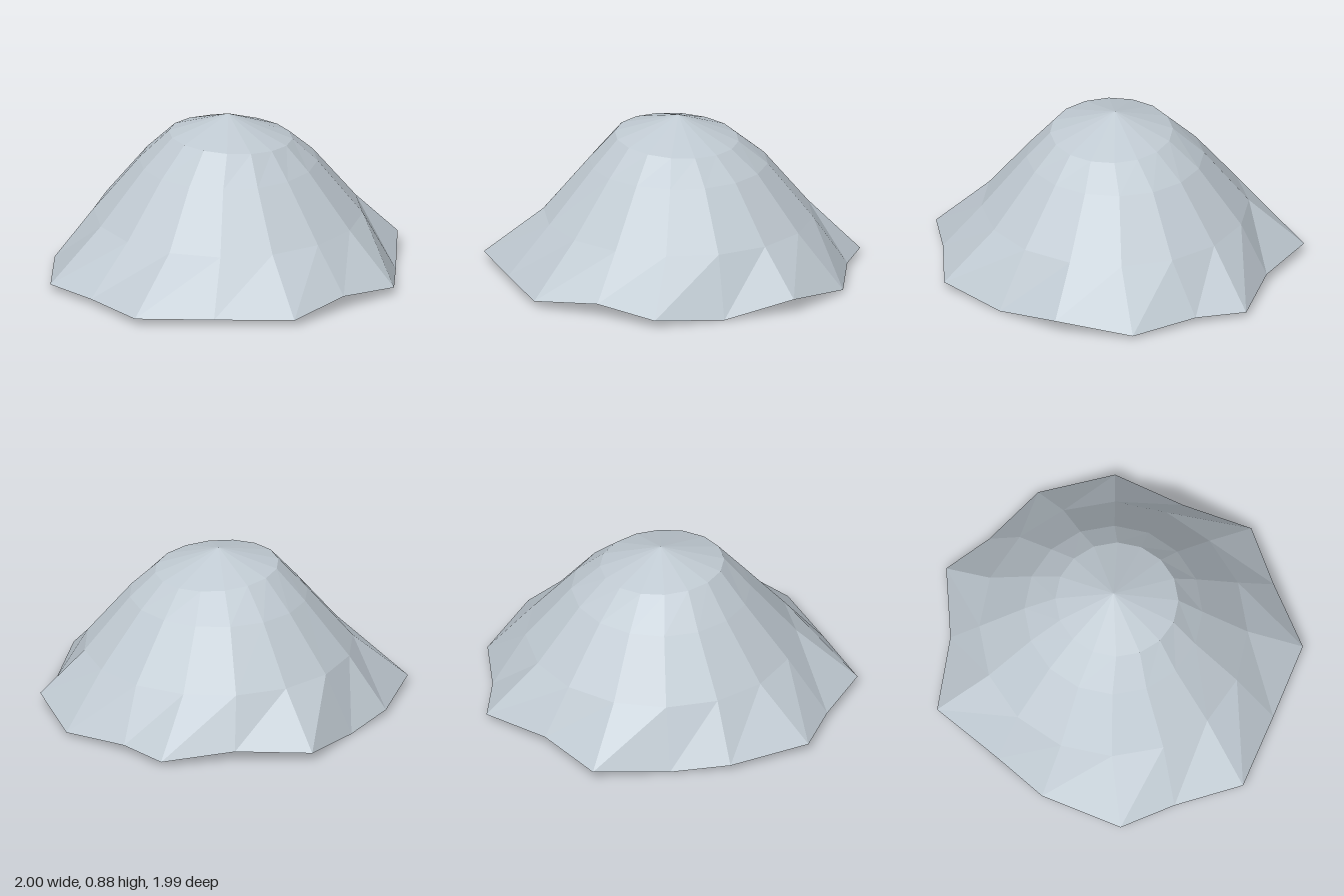
import * as THREE from 'three';

const SIDES = 16;

// One ring of corners, starting at +x and turning towards +z
function ring(cx, cz, rx, rz, height) {
  return Array.from({ length: SIDES }, (_, i) => {
    const a = (i / SIDES) * Math.PI * 2;
    return [cx + rx * Math.cos(a), height(a), cz + rz * Math.sin(a)];
  });
}

export function createModel() {
  const group = new THREE.Group();
  group.name = 'canopy';
  const cloth = new THREE.MeshStandardMaterial({ color: 0xc0cad2, side: THREE.DoubleSide, flatShading: true });
  cloth.name = 'pale blue grey';

  // Wavy hem, x y z per corner
  const hem = [
    [1.0, 0.02, -0.02], [0.92, 0.08, 0.4], [0.645, 0.005, 0.69], [0.37, 0.045, 0.98],
    [0.01, 0.08, 0.97], [-0.37, 0.04, 0.99], [-0.69, 0.04, 0.69], [-1.0, 0.04, 0.39],
    [-0.97, 0.04, 0.0], [-0.98, 0.04, -0.32], [-0.65, 0.03, -0.65], [-0.35, 0.005, -0.79],
    [0.02, 0.05, -1.0], [0.38, 0.055, -0.78], [0.77, 0.03, -0.65], [0.84, 0.04, -0.37],
  ];
  // Shoulder, upper and lower rings above the hem
  const rings = [
    ring(0.01, 0.05, 0.34, 0.335, (a) => 0.768 - 0.022 * Math.cos(a) - 0.005 * Math.sin(a)),
    ring(0.01, 0.03, 0.49, 0.485, () => 0.62),
    ring(0.01, 0.03, 0.74, 0.73, () => 0.32),
    hem,
  ];
  const apex = [0.01, 0.885, 0.03];

  function addPart(name, triangles) {
    const geometry = new THREE.BufferGeometry();
    geometry.setAttribute('position', new THREE.Float32BufferAttribute(triangles.flat(), 3));
    geometry.computeVertexNormals();
    const mesh = new THREE.Mesh(geometry, cloth);
    mesh.name = name;
    group.add(mesh);
  }

  // Pointed cap
  const cap = [];
  for (let i = 0; i < SIDES; i++) cap.push(apex, rings[0][(i + 1) % SIDES], rings[0][i]);
  addPart('cap', cap);

  // Sloping bands down to the hem
  ['shoulderBand', 'middleBand', 'hemBand'].forEach((name, k) => {
    const band = [];
    for (let i = 0; i < SIDES; i++) {
      const j = (i + 1) % SIDES;
      const [a, b, c, d] = [rings[k][i], rings[k][j], rings[k + 1][j], rings[k + 1][i]];
      band.push(a, b, c, a, c, d);
    }
    addPart(name, band);
  });

  return group;
}
